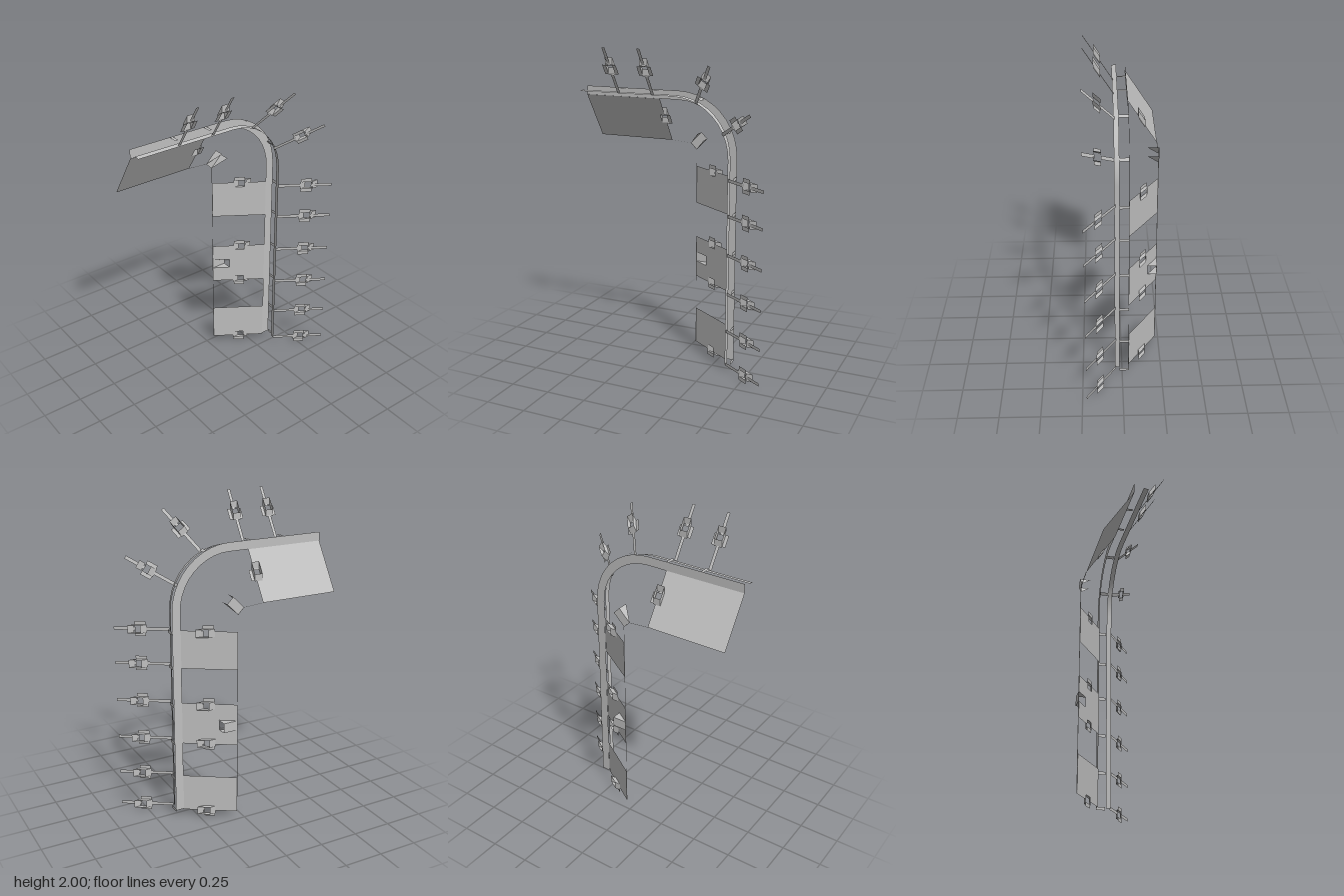
import * as THREE from 'three';

const grey = new THREE.MeshStandardMaterial({ color: 0xbfbfbf, side: THREE.DoubleSide });
grey.name = 'sheet grey';

const CY = 1.36;                          // height of the bend centre
const TILT = -Math.atan2(0.185, 0.285);   // slope shared by arms and panels
const CO = Math.cos(TILT), SI = -Math.sin(TILT);

function add(parent, name, geometry) {
  const mesh = new THREE.Mesh(geometry, grey);
  mesh.name = name;
  parent.add(mesh);
  return mesh;
}

// Sheet stretched between two rows of points
function strip(a, b) {
  const pos = [], index = [];
  a.forEach((p, i) => {
    pos.push(...p, ...b[i]);
    if (i) index.push(2 * i - 2, 2 * i - 1, 2 * i, 2 * i - 1, 2 * i + 1, 2 * i);
  });
  const g = new THREE.BufferGeometry();
  g.setAttribute('position', new THREE.Float32BufferAttribute(pos, 3));
  g.setIndex(index);
  g.computeVertexNormals();
  return g;
}

function poly(points, holes = []) {
  const shape = new THREE.Shape(points.map(p => new THREE.Vector2(...p)));
  holes.forEach(h => shape.holes.push(new THREE.Path(h.map(p => new THREE.Vector2(...p)))));
  return new THREE.ShapeGeometry(shape);
}
const rect = (s0, s1, t0, t1) => [[s0, t0], [s1, t0], [s1, t1], [s0, t1]];

// Points along the bent spine at outward offset n
function spine(n, z) {
  const pts = [[-0.64, CY + n, z]];
  for (let i = 0; i <= 10; i++) {
    const a = Math.PI / 2 * (1 - i / 10);
    pts.push([n * Math.cos(a), CY + n * Math.sin(a), z]);
  }
  pts.push([n, 0.05, z]);
  return pts;
}

// Local frame: x points outward from the spine, y runs along it
function frame(parent, name, x, y, angle) {
  const g = new THREE.Group();
  g.name = name;
  g.position.set(x, y, 0);
  g.rotation.z = angle;
  parent.add(g);
  return g;
}
function slope(parent, name, n, z) {
  const g = new THREE.Group();
  g.name = name;
  g.position.set(n, 0, z);
  g.rotation.y = TILT;
  parent.add(g);
  return g;
}

// Flange with a window, and a sheared open duct behind it
function bracket(parent, n, z) {
  const g = slope(parent, 'bracket', n, z);
  add(g, 'bracketFlange', poly(rect(-0.034, 0.034, -0.046, 0.046), [rect(-0.03, 0.03, -0.022, 0.022)]));
  const ring = [[-1, -1], [1, -1], [1, 1], [-1, 1]].map(([s, t]) => [s * 0.039, t * 0.025, 0]);
  const shift = ([x, y]) => [x + 0.042 * CO, y, -0.042 * SI];
  for (let i = 0; i < 4; i++) {
    const p = [ring[i], ring[(i + 1) % 4]];
    add(g, 'bracketDuct', strip(p, p.map(shift)));
  }
}

// Wedge scoop, open toward the spine
function scoop(parent, n, t, len, half) {
  const z0 = -0.225, z1 = z0 + len * 0.65;
  const g = new THREE.Group();
  g.name = 'scoop';
  g.position.set(n, t, 0);
  parent.add(g);
  add(g, 'scoopBack', strip([[0, -half, z0], [len, -half, z0]], [[0, half, z0], [len, half, z0]]));
  for (const h of [-half, half])
    add(g, 'scoopCheek', strip([[0, h, z0], [len, h, z0]], [[0, h, z0], [len, h, z1]]));
  return g;
}

// Slanted panel with edge notches for the brackets
function panel(parent, t0, t1, notchLow, notchHigh, holes = []) {
  const s = -0.34, a = -0.195, b = -0.135, d = 0.032, pts = [[s, t0]];
  if (notchLow) pts.push([a, t0], [a, t0 + d], [b, t0 + d], [b, t0]);
  pts.push([0, t0], [0, t1]);
  if (notchHigh) pts.push([b, t1], [b, t1 - d], [a, t1 - d], [a, t1]);
  pts.push([s, t1]);
  add(slope(parent, 'panelFrame', 0.325, -0.04), 'panel', poly(pts, holes));
}

export function createModel() {
  const model = new THREE.Group();
  model.name = 'bentFrame';

  // Spine: front edge ribbon and flat back sheet
  add(model, 'frontRibbon', strip(spine(0.36, 0.016), spine(0.355, 0.046)));
  add(model, 'backSheet', strip(spine(0.325, -0.042), spine(0.38, -0.042)));

  // Arms with their connectors and brackets: x, y, angle, inner bracket
  const stations = [
    [-0.37, CY, Math.PI / 2, false], [-0.14, CY, Math.PI / 2, true],
    [-0.056, 1.387, 0.977, false], [0.013, 1.309, 0.576, false],
    [0, 1.235, 0, true], [0, 1.015, 0, false], [0, 0.77, 0, true],
    [0, 0.52, 0, true], [0, 0.275, 0, false], [0, 0.052, 0, true],
  ];
  for (const [x, y, angle, inner] of stations) {
    const f = frame(model, 'arm', x, y, angle);
    const s = slope(f, 'armSlope', 0.36, 0.04);
    add(s, 'armRoot', poly(rect(0, 0.145, -0.01, 0.01)));
    add(s, 'armTip', poly(rect(0.205, 0.337, -0.01, 0.01)));
    add(f, 'connector', strip([[0.38, -0.01, -0.042], [0.38, 0.01, -0.042]],
      [[0.38, -0.01, 0.016], [0.38, 0.01, 0.016]]));
    bracket(f, 0.507, 0.138);
    if (inner) bracket(f, 0.187, -0.13);
  }

  // Panels on the upright
  const upright = frame(model, 'uprightPanels', 0, 0, 0);
  panel(upright, 1.005, 1.245, false, true);
  panel(upright, 0.51, 0.78, true, true, [rect(-0.338, -0.228, 0.612, 0.674)]);
  panel(upright, 0.045, 0.285, true, false);
  scoop(upright, 0.04, 0.643, 0.095, 0.031);

  // Panel under the top run
  const top = frame(model, 'topPanel', 0, CY, Math.PI / 2);
  panel(top, 0.13, 0.64, true, false);

  // Scoop inside the bend
  scoop(frame(model, 'bendScoop', 0.018, 1.37, Math.PI / 4), 0, 0, 0.104, 0.028);

  // Fine wire joining the inner panel edges
  const wire = z => [[0.04, 0.05, z], [0.04, 1.35, z], [0.0, 1.39, z], [-0.13, 1.4, z]];
  add(model, 'edgeWire', strip(wire(-0.227), wire(-0.223)));

  return model;
}
